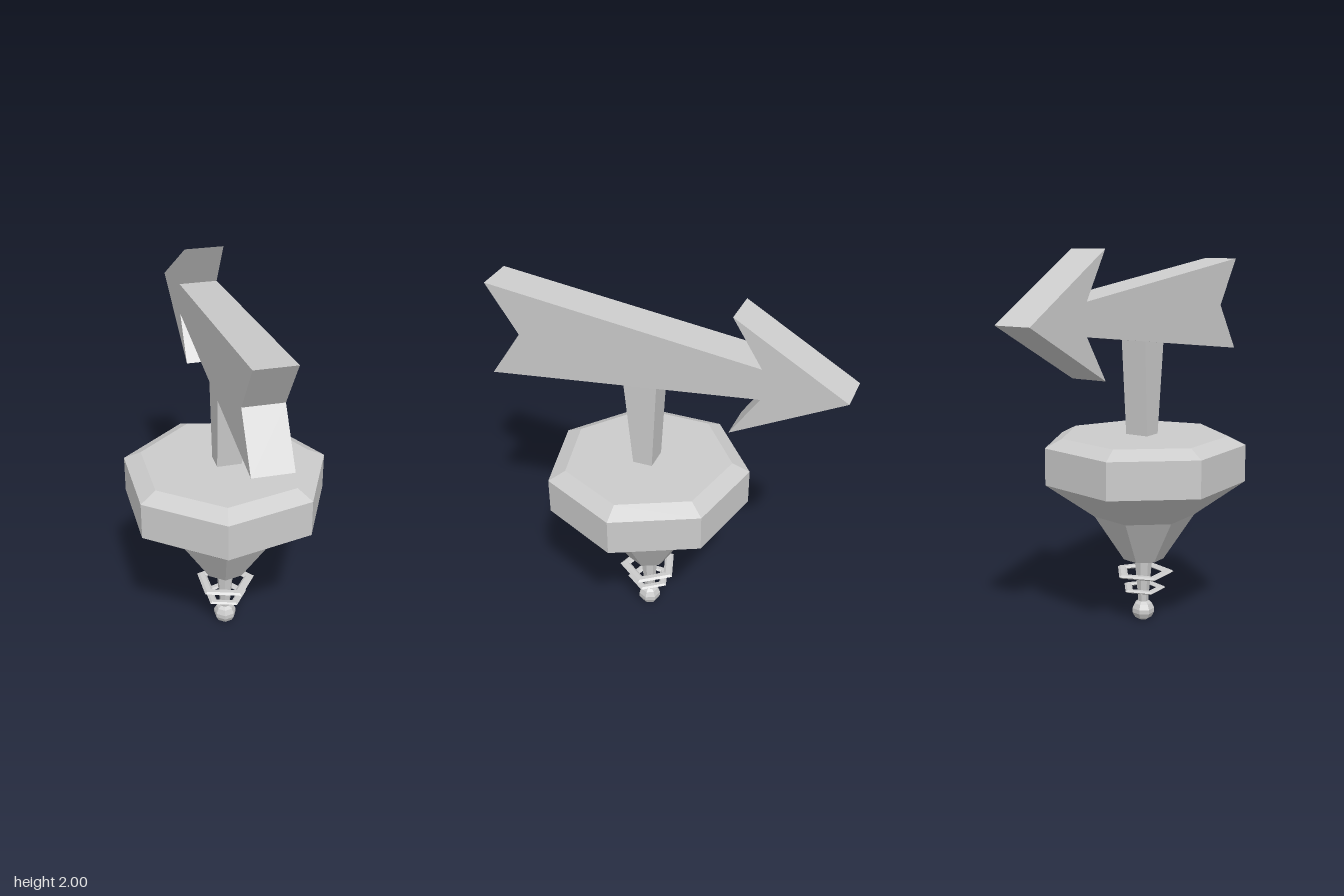
import * as THREE from 'three';

const CX = -0.026, CZ = 0.112; // axis of the turned parts

const material = new THREE.MeshStandardMaterial({ color: 0xcccccc, flatShading: true });

function addPart(group, name, geometry) {
  const flat = geometry.index ? geometry.toNonIndexed() : geometry;
  flat.computeVertexNormals();
  const mesh = new THREE.Mesh(flat, material);
  mesh.name = name;
  group.add(mesh);
  return mesh;
}

// Seven-sided turned part with one corner pointing to +x; profile runs bottom to top
function turned(profile) {
  const points = profile.map(([r, y]) => new THREE.Vector2(r, y));
  return new THREE.LatheGeometry(points, 7, Math.PI / 2).translate(CX, 0, CZ);
}

export function createModel() {
  const group = new THREE.Group();
  group.name = 'weatherVane';

  // Faceted body with bevelled top and flared underside
  addPart(group, 'body', turned([
    [0, 0.35], [0.11, 0.35], [0.272, 0.6], [0.537, 0.79],
    [0.537, 0.985], [0.445, 1.03], [0, 1.03],
  ]));

  // Tapered stem and ball finial under the body
  addPart(group, 'stem', turned([[0, 0.09], [0.026, 0.09], [0.05, 0.36], [0, 0.36]]));
  addPart(group, 'ballFinial', turned([
    [0, 0], [0.024, 0.003], [0.046, 0.017], [0.061, 0.045],
    [0.061, 0.068], [0.047, 0.095], [0.024, 0.11], [0, 0.112],
  ]));

  // Flat five-sided rings around the stem
  for (const [name, radius, tube, y] of [
    ['upperRing', 0.165, 0.03, 0.27],
    ['lowerRing', 0.122, 0.025, 0.18],
  ]) {
    const ring = new THREE.TorusGeometry(radius - tube, tube, 6, 5);
    ring.scale(1, 1, 0.36).rotateX(Math.PI / 2).translate(CX, y, CZ);
    addPart(group, name, ring);
  }

  // Post widening upwards from the body into the arrow
  const post = new THREE.BoxGeometry(1, 0.6, 1);
  const pos = post.attributes.position;
  for (let i = 0; i < pos.count; i++) {
    const top = pos.getY(i) > 0;
    pos.setX(i, -0.015 + pos.getX(i) * (top ? 0.146 : 0.13));
    pos.setZ(i, (top ? 0.12 : 0.112) + pos.getZ(i) * (top ? 0.19 : 0.1));
  }
  addPart(group, 'post', post.translate(0, 1.3, 0));

  // Arrow outline in (z, y), extruded across x and turned very slightly
  const outline = [
    [0.93, 1.93], [0.76, 1.675], [0.93, 1.42], [-0.51, 1.595],
    [-0.36, 1.37], [-0.93, 1.67], [-0.36, 2.0], [-0.51, 1.76],
  ].map(([z, y]) => new THREE.Vector2(z, y));
  const arrow = new THREE.ExtrudeGeometry(new THREE.Shape(outline), { depth: 0.2, bevelEnabled: false });
  arrow.translate(0, 0, -0.1).rotateY(-Math.PI / 2 - 0.011).translate(-0.015, 0, 0);
  addPart(group, 'arrow', arrow);

  return group;
}
